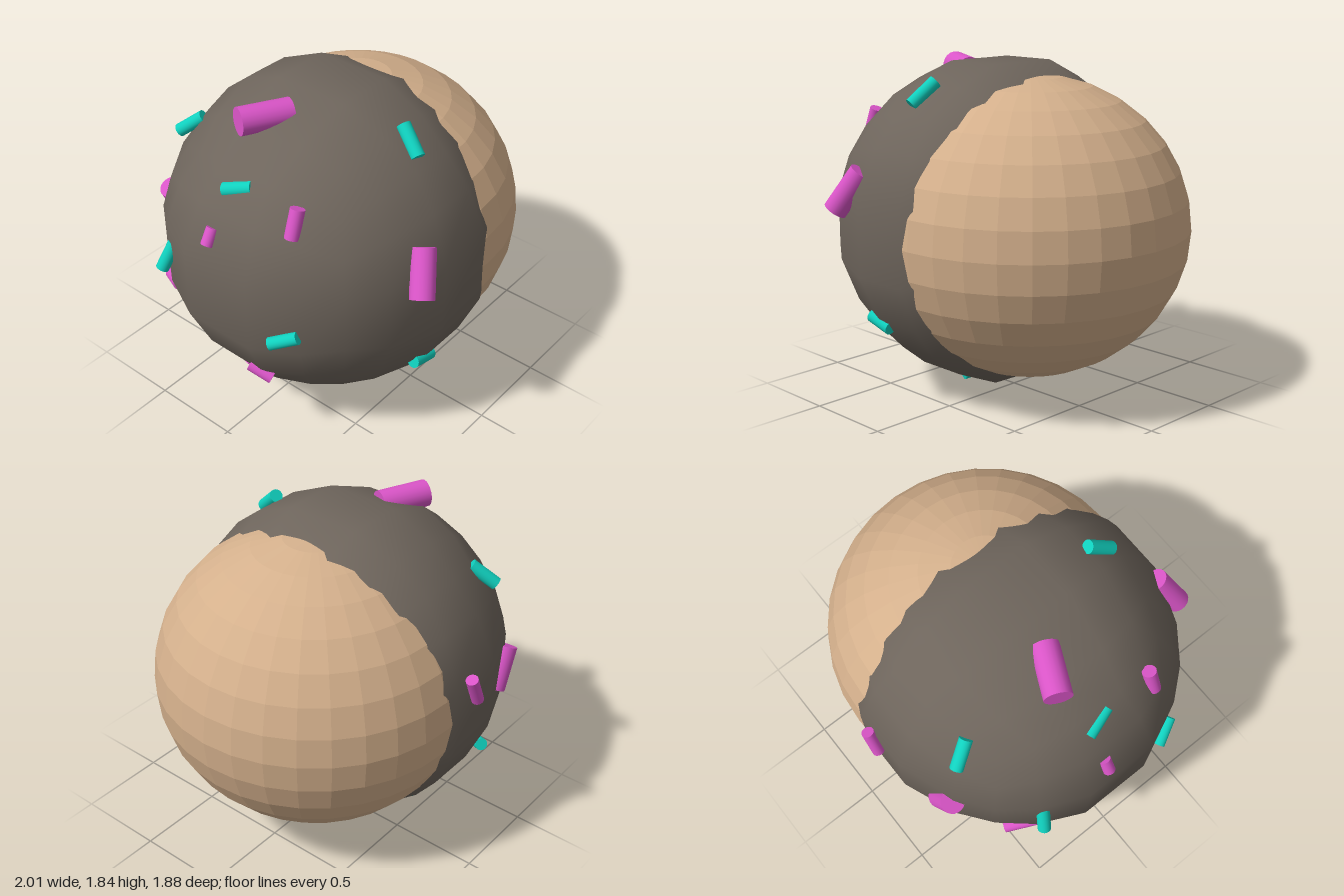
import * as THREE from 'three';
import { mergeVertices } from 'three/addons/utils/BufferGeometryUtils.js';

const material = (color, flatShading = false) => {
  const m = new THREE.MeshStandardMaterial({ color });
  m.flatShading = flatShading;
  return m;
};

// Cube-sphere: a 5x5 box grid pushed out onto a slightly squashed ball
function icingGeometry() {
  let geo = new THREE.BoxGeometry(2, 2, 2, 5, 5, 5);
  geo.deleteAttribute('uv');
  geo.deleteAttribute('normal');
  geo = mergeVertices(geo, 1e-3);
  const p = geo.attributes.position;
  const v = new THREE.Vector3();
  const widen = (t) => (Math.abs(t) < 0.3 ? Math.sign(t) * 0.24 : t);
  for (let i = 0; i < p.count; i++) {
    v.fromBufferAttribute(p, i);
    v.set(v.x, widen(v.y), widen(v.z)).normalize();
    const [a, b, c] = [v.x * v.x, v.y * v.y, v.z * v.z];
    v.multiplyScalar(1 - 0.08 * (a * b + b * c + c * a)); // pull corners in
    const rx = v.x > 0 ? 0.77 : 0.985; // the covered side is shallower
    p.setXYZ(i, v.x * rx, v.y * 0.929, v.z * 0.929);
  }
  geo.computeVertexNormals();
  return geo;
}

// Round rod between two end points
function rod(name, mat, [ax, ay, az, bx, by, bz, radius]) {
  const a = new THREE.Vector3(ax, ay, az);
  const b = new THREE.Vector3(bx, by, bz);
  const dir = b.clone().sub(a);
  const mesh = new THREE.Mesh(new THREE.CylinderGeometry(radius, radius, dir.length(), 20), mat);
  mesh.position.copy(a).add(b).multiplyScalar(0.5);
  mesh.quaternion.setFromUnitVectors(new THREE.Vector3(0, 1, 0), dir.normalize());
  mesh.name = name;
  return mesh;
}

// Sprinkles: start xyz, end xyz, radius
const PINK = [
  [-0.63, 1.77, -0.15, -0.38, 1.76, -0.03, 0.074],
  [-0.46, 1.08, 0.88, -0.34, 1.29, 0.79, 0.065],
  [-0.81, 1.4, 0.35, -0.755, 1.545, 0.345, 0.038],
  [-0.975, 1.25, -0.07, -0.925, 1.33, -0.07, 0.033],
  [-0.1, 1.03, -0.905, -0.03, 1.19, -0.905, 0.034],
  [-0.57, 1.07, -0.77, -0.46, 0.85, -0.78, 0.066],
  [-0.9, 0.51, 0.11, -0.86, 0.455, 0.23, 0.037],
  [-0.78, 0.41, 0, -0.69, 0.28, 0, 0.045],
  [-0.78, 0.685, -0.59, -0.86, 0.735, -0.44, 0.035],
];
const TEAL = [
  [-0.155, 1.64, 0.6, -0.11, 1.755, 0.47, 0.037],
  [-0.81, 1.49, -0.09, -0.76, 1.54, 0.06, 0.038],
  [-0.53, 1.45, -0.7, -0.46, 1.55, -0.58, 0.036],
  [-0.95, 0.89, -0.46, -0.88, 1.04, -0.42, 0.036],
  [-0.975, 0.83, 0.33, -0.905, 0.895, 0.46, 0.034],
  [-0.33, 0.5, 0.75, -0.18, 0.46, 0.75, 0.037],
  [-0.25, 0.036, 0.16, -0.2, 0.065, 0, 0.035],
  [-0.12, 0.165, -0.37, -0.14, 0.175, -0.51, 0.033],
  [-0.45, 0.455, -0.7, -0.39, 0.495, -0.78, 0.035],
  [-0.735, 0.44, -0.42, -0.69, 0.31, -0.42, 0.035],
];

export function createModel() {
  const group = new THREE.Group();
  group.name = 'sprinkledBall';

  // Faceted cake ball
  const cake = new THREE.Mesh(new THREE.SphereGeometry(0.88, 32, 16), material(0xd4b08c, true));
  cake.scale.y = 0.825 / 0.88;
  cake.position.set(0.12, 0.955, 0);
  cake.name = 'cakeBall';
  group.add(cake);

  // Smooth coating over the right half
  const icing = new THREE.Mesh(icingGeometry(), material(0x6e655c));
  icing.position.set(-0.08, 0.957, 0);
  icing.name = 'icing';
  group.add(icing);

  // Sprinkles set into the coating
  const sprinkles = new THREE.Group();
  sprinkles.name = 'sprinkles';
  const pink = material(0xda55c8);
  const teal = material(0x10d0be);
  PINK.forEach((s) => sprinkles.add(rod('pinkSprinkle', pink, s)));
  TEAL.forEach((s) => sprinkles.add(rod('tealSprinkle', teal, s)));
  group.add(sprinkles);

  return group;
}
